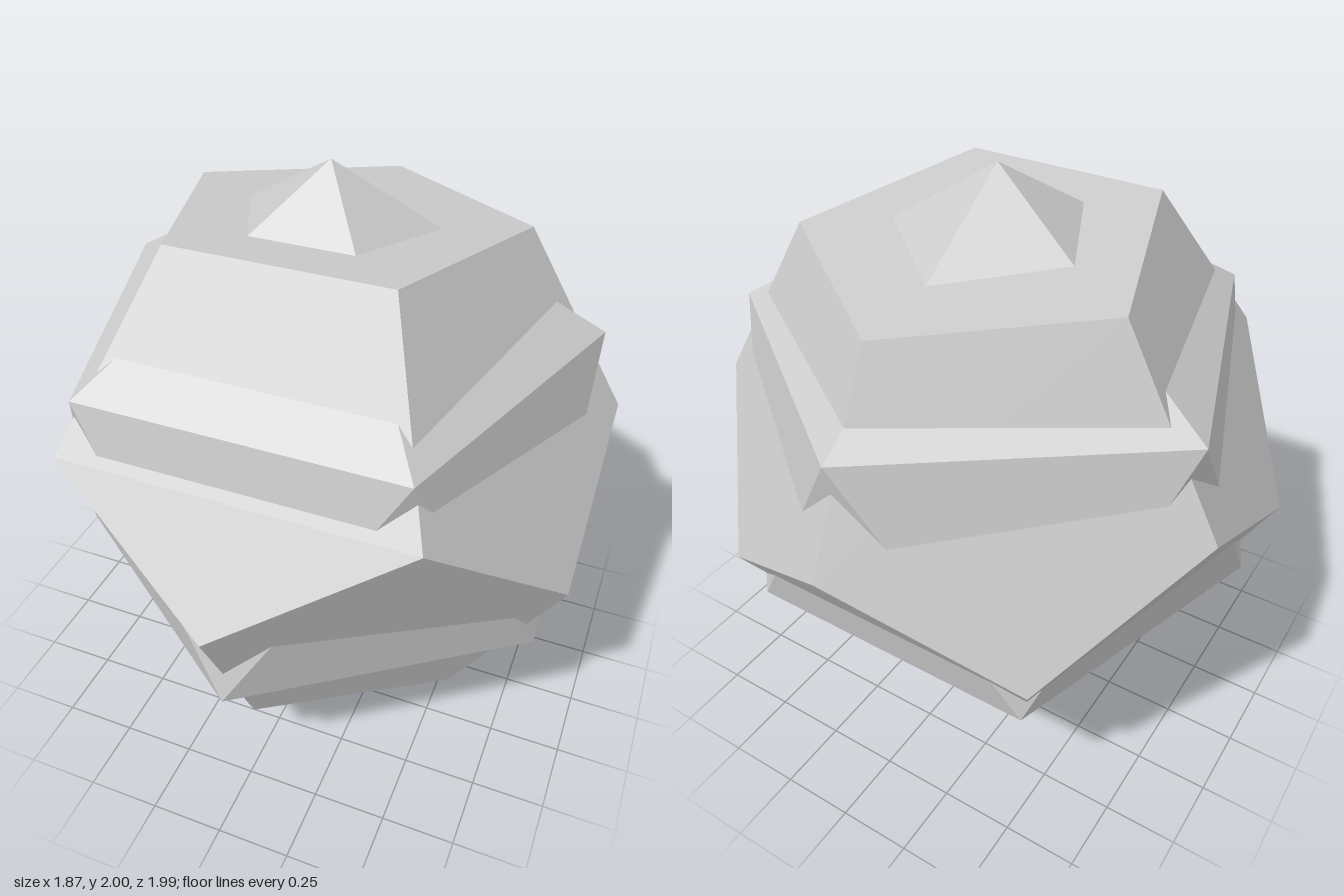
import * as THREE from 'three';

// Two interpenetrating regular solids of unit radius, each tipped about the x axis.
export function createModel() {
  const group = new THREE.Group();
  group.name = 'polyhedronCompound';
  const material = new THREE.MeshStandardMaterial({ color: 0xcccccc, flatShading: true });

  function addSolid(name, geometry, tilt) {
    const mesh = new THREE.Mesh(geometry, material);
    mesh.name = name;
    mesh.rotation.x = tilt;
    mesh.position.y = 1;
    group.add(mesh);
  }

  // Pentagonal faces: one nearly level on top
  addSolid('dodecahedron', new THREE.DodecahedronGeometry(1), 0.44);
  // Triangular faces: corners poke out as the top and bottom points and two belts
  addSolid('icosahedron', new THREE.IcosahedronGeometry(1), 1.0);

  return group;
}
